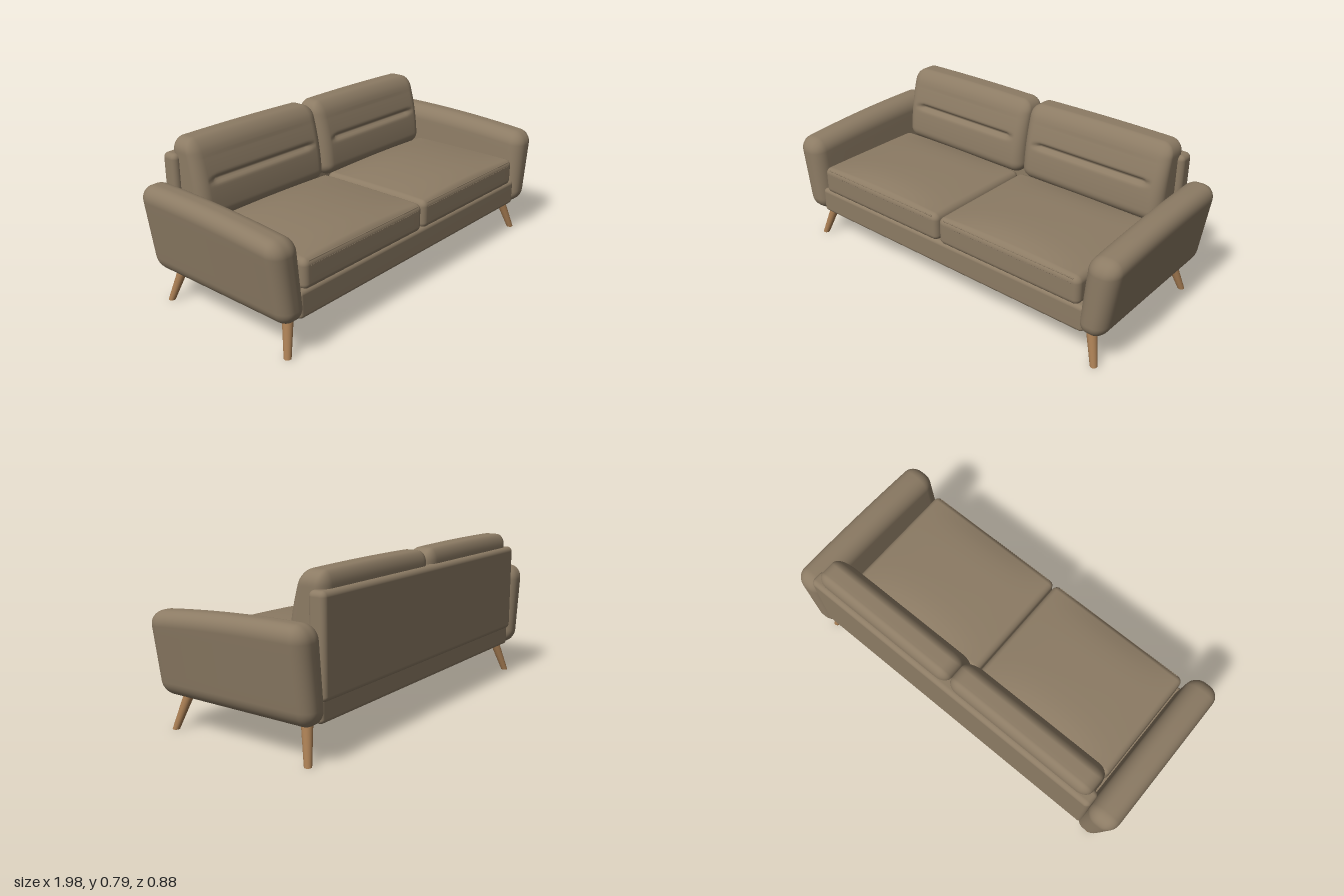
import * as THREE from 'three';
import { mergeVertices, mergeGeometries } from 'three/addons/utils/BufferGeometryUtils.js';

const fabric = new THREE.MeshStandardMaterial({ color: 0x8c7b64 });
fabric.name = 'fabric';
const wood = new THREE.MeshStandardMaterial({ color: 0xa67c52 });
wood.name = 'wood';

// Rounded block between two corners; flat spans are subdivided so deform(v) can bend them.
function softBlock(min, max, r, spans = [1, 1, 1], deform = null) {
  const k = 5; // segments per rounded edge
  const n = spans.map((s) => s + 2 * k);
  const g = new THREE.BoxGeometry(1, 1, 1, ...n);
  g.deleteAttribute('uv');
  g.deleteAttribute('normal');
  const pos = g.attributes.position;
  const v = new THREE.Vector3();
  const inner = new THREE.Vector3();
  for (let i = 0; i < pos.count; i++) {
    v.fromBufferAttribute(pos, i);
    for (let a = 0; a < 3; a++) {
      const lo = min[a] + r, hi = max[a] - r;
      const j = Math.round((v.getComponent(a) + 0.5) * n[a]);
      let c;
      if (j < k) c = lo - r * Math.tan((Math.PI / 4) * (k - j) / k);
      else if (j > n[a] - k) c = hi + r * Math.tan((Math.PI / 4) * (j - n[a] + k) / k);
      else c = lo + (hi - lo) * (j - k) / spans[a];
      v.setComponent(a, c);
      inner.setComponent(a, Math.min(hi, Math.max(lo, c)));
    }
    v.sub(inner).setLength(r).add(inner);
    if (deform) deform(v);
    pos.setXYZ(i, v.x, v.y, v.z);
  }
  const merged = mergeVertices(g, 1e-5);
  merged.computeVertexNormals();
  return merged;
}

export function createModel() {
  const sofa = new THREE.Group();
  sofa.name = 'sofa';
  const add = (name, geometry, material = fabric) => {
    const mesh = new THREE.Mesh(geometry, material);
    mesh.name = name;
    sofa.add(mesh);
    return mesh;
  };

  // Base and upright back panel
  add('baseFrame', softBlock([-0.84, 0.167, -0.42], [0.84, 0.3, 0.42], 0.02));
  add('backPanel', softBlock([-0.84, 0.26, -0.436], [0.84, 0.715, -0.35], 0.025));

  for (const side of [1, -1]) {
    const label = side > 0 ? 'left' : 'right';

    // Arm leans outward, widens upward and rises toward the back
    add(label + 'Arm', softBlock([-0.08, 0.167, -0.44], [0.08, 0.567, 0.44], 0.068, [1, 6, 14], (v) => {
      const t = (v.y - 0.167) / 0.4;
      const top = 0.592 - 0.046 * v.z - 0.07 * v.z * v.z;
      v.x = v.x * (0.84 + 0.16 * t) + side * (0.872 + 0.048 * t);
      v.y = 0.167 + t * (top - 0.167);
    }));

    // Seat cushion with a crowned top
    const mid = side * 0.407;
    add(label + 'SeatCushion', softBlock([mid - 0.403, 0.288, -0.21], [mid + 0.403, 0.43, 0.42], 0.03, [18, 4, 14], (v) => {
      const u = (v.x - mid) / 0.403, w = (v.z - 0.105) / 0.315;
      const lift = Math.max(0, (v.y - 0.4) / 0.03);
      v.y += 0.032 * lift * (1 - u * u) * (1 - w ** 4);
    }));

    // Front seam: piping and a row of stitches
    const piping = new THREE.CylinderGeometry(0.003, 0.003, 0.74, 8);
    piping.rotateZ(Math.PI / 2).translate(mid, 0.42, 0.412);
    add(label + 'SeatPiping', piping);
    const stitches = [];
    for (let i = 0; i < 46; i++) {
      stitches.push(new THREE.BoxGeometry(0.009, 0.003, 0.003).translate(mid - 0.36 + i * 0.016, 0.4, 0.42));
    }
    add(label + 'SeatStitches', mergeGeometries(stitches));

    // Back cushion, thinner at the top, with a horizontal crease
    add(label + 'BackCushion', softBlock([mid - 0.405, 0.4, -0.412], [mid + 0.405, 0.787, -0.2], 0.06, [28, 36, 3], (v) => {
      const t = (v.y - 0.4) / 0.387, w = (v.z + 0.412) / 0.212;
      const u = Math.abs(v.x - mid);
      const ends = 1 - THREE.MathUtils.smoothstep(u, 0.29, 0.34);
      const crease = 0.022 * Math.exp(-(((v.y - 0.597) / 0.013) ** 2)) * ends;
      v.z -= w * (0.08 * t * t + crease);
      if (t > 0.8) v.y += 0.005 * (1 - (u / 0.405) ** 2);
    }));

    // Splayed tapered legs with level ends
    for (const end of [1, -1]) {
      const leg = new THREE.CylinderGeometry(0.027, 0.017, 0.19, 20);
      leg.translate(0, 0.095, 0);
      const shear = new THREE.Matrix4().set(
        1, -side * 0.31, 0, side * 0.89,
        0, 1, 0, 0,
        0, -end * 0.265, 1, end * 0.387,
        0, 0, 0, 1
      );
      leg.applyMatrix4(shear);
      add(label + (end > 0 ? 'FrontLeg' : 'BackLeg'), leg, wood);
    }
  }
  return sofa;
}
